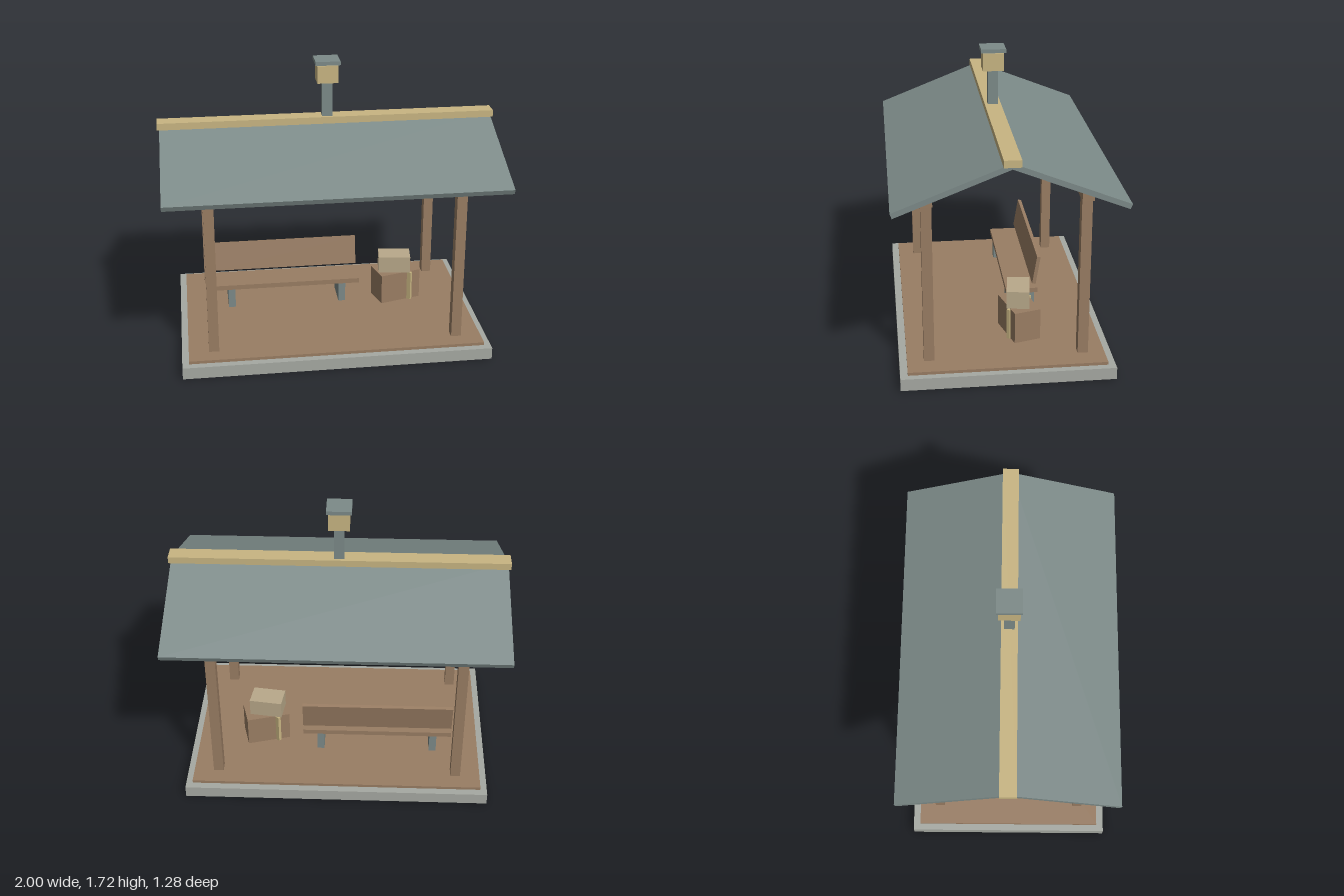
import * as THREE from 'three';

const mat = (name, color) => {
  const m = new THREE.MeshStandardMaterial({ color });
  m.name = name;
  return m;
};

export function createModel() {
  const slate = mat('slate', 0x7c8a88);
  const wood = mat('wood', 0x997d63);
  const straw = mat('straw', 0xc8b582);
  const linen = mat('linen', 0xb9a98a);
  const stone = mat('stone', 0xa6a9a2);

  const model = new THREE.Group();
  model.name = 'shelter';

  // Box given by its size, bottom height and centre on the ground plane
  const box = (name, material, [w, h, d], [x, bottom, z], turn = 0, parent = model) => {
    const m = new THREE.Mesh(new THREE.BoxGeometry(w, h, d), material);
    m.name = name;
    m.position.set(x, bottom + h / 2, z);
    m.rotation.y = turn;
    parent.add(m);
    return m;
  };

  // Floor
  box('foundation', stone, [1.84, 0.072, 1.226], [0, 0, 0]);
  box('deck', wood, [1.76, 0.018, 1.14], [0, 0.072, 0]);

  // Posts and the beams they carry
  for (const z of [-0.443, 0.443]) {
    for (const x of [-0.73, 0.73]) box('post', wood, [0.06, 0.957, 0.06], [x, 0.09, z]);
    box('beam', wood, [1.58, 0.068, 0.068], [0, 1.047, z]);
  }

  // Gable roof: chevron profile extruded along x
  const profile = new THREE.Shape([
    [-0.63, 1.073], [0, 1.322], [0.63, 1.073], [0.641, 1.102], [0, 1.355], [-0.641, 1.102],
  ].map(([z, y]) => new THREE.Vector2(z, y)));
  const roofGeo = new THREE.ExtrudeGeometry(profile, { depth: 1.974, bevelEnabled: false });
  roofGeo.translate(0, 0, -0.987).rotateY(Math.PI / 2);
  const roof = new THREE.Mesh(roofGeo, slate);
  roof.name = 'roof';
  model.add(roof);
  box('ridgeCap', straw, [2, 0.041, 0.096], [0, 1.336, 0]);

  // Chimney
  box('chimneyPipe', slate, [0.06, 0.23, 0.06], [0, 1.36, 0]);
  box('chimneyHead', straw, [0.124, 0.104, 0.124], [0, 1.587, 0]);
  box('chimneyCap', slate, [0.146, 0.023, 0.146], [0, 1.697, 0]);

  // Bench
  const bench = new THREE.Group();
  bench.name = 'bench';
  model.add(bench);
  box('seat', wood, [0.924, 0.03, 0.195], [-0.245, 0.216, -0.158], 0, bench);
  for (const x of [-0.595, 0.107]) box('benchLeg', slate, [0.044, 0.127, 0.18], [x, 0.09, -0.158], 0, bench);
  const back = box('backrest', wood, [0.924, 0.182, 0.022], [-0.245, 0.273, -0.247], 0, bench);
  back.rotation.x = -0.16;

  // Strapped crate with a smaller parcel on top
  const luggage = new THREE.Group();
  luggage.name = 'luggage';
  model.add(luggage);
  box('crate', wood, [0.267, 0.192, 0.162], [0.46, 0.09, -0.109], 0.268, luggage);
  box('strap', straw, [0.02, 0.189, 0.235], [0.46, 0.09, -0.109], 0.87, luggage);
  box('parcel', linen, [0.2, 0.108, 0.134], [0.448, 0.282, -0.105], -0.13, luggage);

  return model;
}
